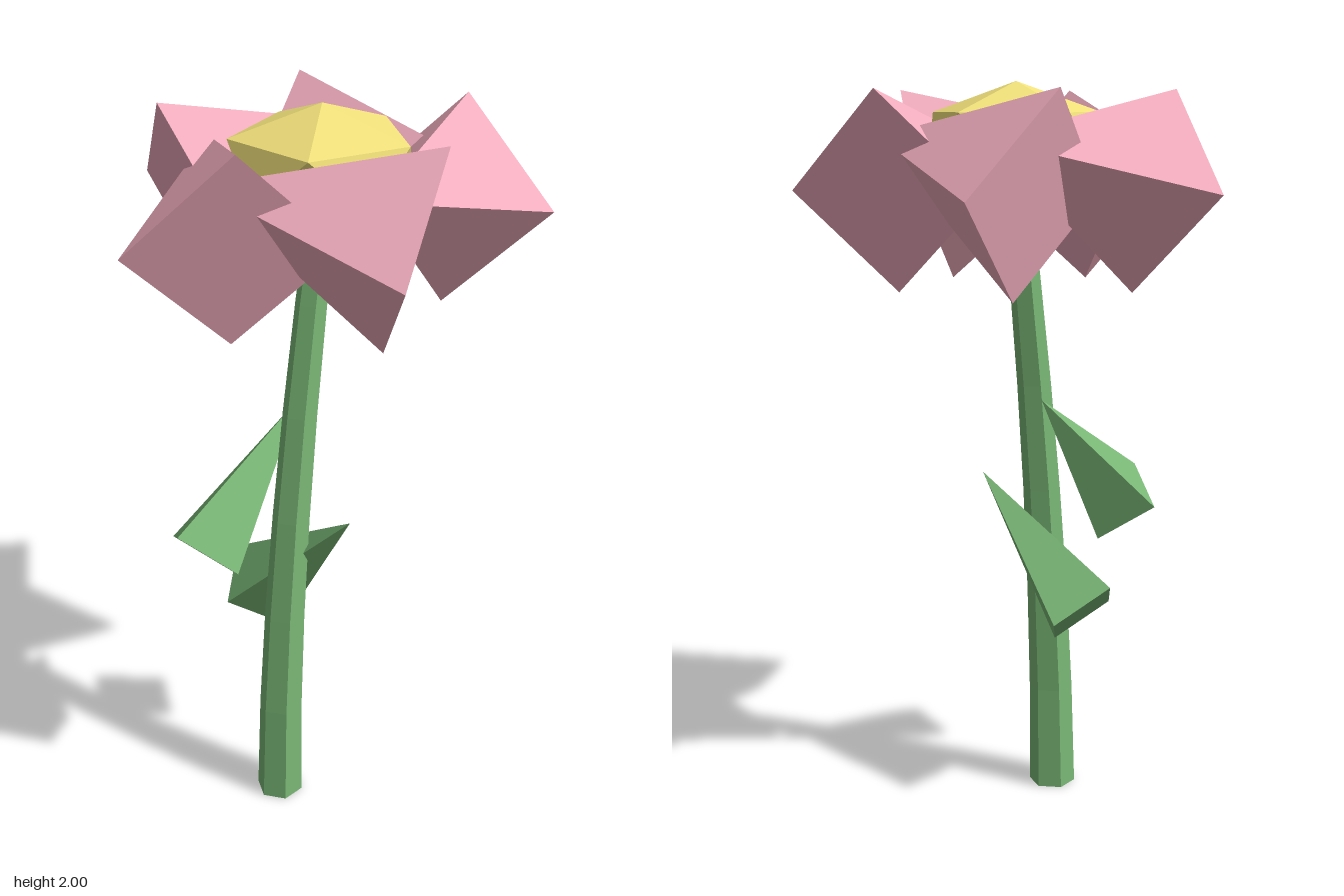
import * as THREE from 'three';

const material = (color) => new THREE.MeshStandardMaterial({ color, flatShading: true });
const V = (x, y, z) => new THREE.Vector3(x, y, z);

// Four-sided pyramid given its base centre, its apex and one base corner
function pyramid(name, center, apex, corner, mat) {
  const axis = apex.clone().sub(center);
  const height = axis.length();
  axis.normalize();
  const out = corner.clone().sub(center);
  const radius = out.length();
  out.addScaledVector(axis, -out.dot(axis)).normalize();
  const side = axis.clone().cross(out);
  const geometry = new THREE.ConeGeometry(radius, height, 4);
  geometry.translate(0, height / 2, 0);
  geometry.applyMatrix4(new THREE.Matrix4().makeBasis(side, axis, out).setPosition(center));
  const mesh = new THREE.Mesh(geometry, mat);
  mesh.name = name;
  return mesh;
}

export function createModel() {
  const model = new THREE.Group();
  model.name = 'flower';
  const green = material(0x7ab876);
  const pink = material(0xf0acbd);
  const yellow = material(0xf0e07a);

  // Stem: tapered hexagonal column that leans over towards the top
  const stemGeometry = new THREE.CylinderGeometry(0.037, 0.066, 1.8, 6, 6);
  stemGeometry.rotateY(Math.PI / 6);
  stemGeometry.translate(0, 0.9, 0.028);
  const p = stemGeometry.attributes.position;
  for (let i = 0; i < p.count; i++) {
    const y = Math.max(p.getY(i), 0);
    p.setX(i, p.getX(i) - 0.143 + 0.17 * Math.pow(y / 1.75, 1.74));
  }
  const stem = new THREE.Mesh(stemGeometry, green);
  stem.name = 'stem';
  model.add(stem);

  // Leaves: slanting spikes that pass through the stem
  model.add(pyramid('upperLeaf', V(-0.312, 0.832, -0.075), V(0.035, 1.18, -0.065), V(-0.312, 0.832, -0.206), green));
  model.add(pyramid('lowerLeaf', V(-0.042, 0.58, -0.147), V(-0.042, 0.93, 0.2), V(0.088, 0.58, -0.147), green));

  // Flower head: five overlapping petals around a flattened core
  const head = new THREE.Group();
  head.name = 'flowerHead';
  head.position.set(0.026, 0, 0.025);
  model.add(head);
  for (let i = 0; i < 5; i++) {
    const petal = pyramid('petal', V(0.321, 1.725, 0.162), V(-0.162, 1.862, 0.317), V(0.388, 1.98, 0.138), pink);
    petal.rotation.y = (i * Math.PI * 2) / 5;
    head.add(petal);
  }
  const coreGeometry = new THREE.IcosahedronGeometry(0.26, 0);
  coreGeometry.rotateZ(-Math.atan(2 / (1 + Math.sqrt(5)))); // one corner straight up
  coreGeometry.scale(1, 0.54, 1);
  const core = new THREE.Mesh(coreGeometry, yellow);
  core.name = 'core';
  core.position.y = 1.86;
  head.add(core);

  return model;
}
